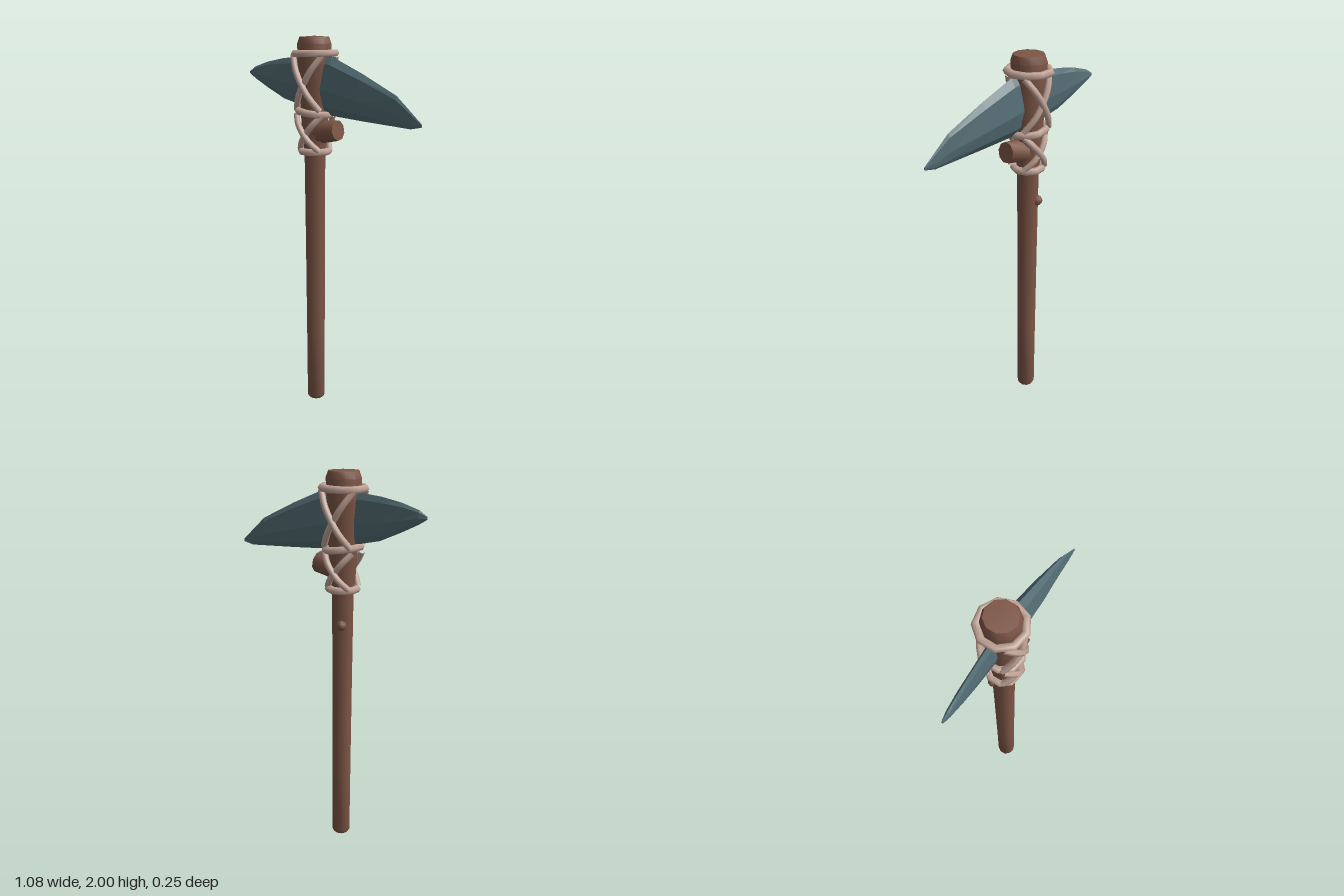
import * as THREE from 'three';
import { toCreasedNormals } from 'three/addons/utils/BufferGeometryUtils.js';

const CX = -0.093; // handle axis

export function createModel() {
  const group = new THREE.Group();
  const wood = new THREE.MeshStandardMaterial({ color: 0x7d5646 });
  const cord = new THREE.MeshStandardMaterial({ color: 0xc4a699 });
  const stone = new THREE.MeshStandardMaterial({ color: 0x546e75, flatShading: true });

  const add = (name, geometry, material, parent = group) => {
    const mesh = new THREE.Mesh(geometry, material);
    mesh.name = name;
    parent.add(mesh);
    return mesh;
  };

  // Handle: slender shaft flaring towards the head
  const profile = [
    [0, 0], [0.042, 0], [0.05, 0.015], [0.051, 0.4], [0.053, 0.9], [0.056, 1.4],
    [0.066, 1.5], [0.074, 1.62], [0.083, 1.85], [0.09, 1.96], [0.077, 1.995], [0, 2],
  ].map(([r, y]) => new THREE.Vector2(r, y));
  const handle = add('handle', toCreasedNormals(new THREE.LatheGeometry(profile, 10), 0.7), wood);
  handle.position.x = CX;

  // Cut branch stub below the blade
  const stub = add('branchStub', toCreasedNormals(new THREE.CylinderGeometry(0.053, 0.06, 0.13, 9), 0.8), wood);
  stub.position.set(-0.007, 1.53, 0);
  stub.rotation.z = -Math.PI / 2 + 0.15;

  // Small knot on the back of the shaft
  const knot = add('knot', new THREE.SphereGeometry(0.027, 8, 6), wood);
  knot.position.set(CX - 0.024, 1.24, -0.048);

  add('blade', bladeGeometry(), stone);

  // Cord wrapping: three rings joined by crossed strands
  const binding = new THREE.Group();
  binding.name = 'binding';
  group.add(binding);

  const rings = [ // height, radius, sideways tilt
    [1.915, 0.106, 0.02], [1.625, 0.089, -0.13], [1.423, 0.073, 0],
  ];
  for (const [y, radius, tilt] of rings) {
    const ring = add('cordRing', new THREE.TorusGeometry(radius, 0.019, 6, 9).rotateX(Math.PI / 2), cord, binding);
    ring.position.set(CX, y, 0);
    ring.rotation.z = tilt;
  }

  const crossings = [ // top, bottom, half width at top and bottom, depth at ends and middle
    [1.905, 1.635, 0.088, 0.08, 0.055, 0.1],
    [1.61, 1.43, 0.078, 0.066, 0.045, 0.086],
  ];
  for (const [top, bottom, wTop, wBottom, zEnd, zMid] of crossings) {
    for (const face of [1, -1]) {
      for (const slant of [1, -1]) {
        const points = [0, 0.25, 0.5, 0.75, 1].map((t) => new THREE.Vector3(
          CX + slant * THREE.MathUtils.lerp(-wTop, wBottom, t),
          THREE.MathUtils.lerp(top, bottom, t),
          face * (zEnd + (zMid - zEnd) * Math.sin(Math.PI * t) ** 0.7 + 0.006 * slant * face),
        ));
        const path = new THREE.CatmullRomCurve3(points);
        add('crossedCord', new THREE.TubeGeometry(path, 10, 0.016, 6), cord, binding);
      }
    }
  }
  return group;
}

// Knapped stone blade: bevelled sections lofted along x
function bladeGeometry() {
  const stations = [ // x, top, bottom, half thickness
    [-0.54, 1.815, 1.8, 0.005], [-0.5, 1.84, 1.775, 0.014], [-0.41, 1.867, 1.73, 0.019],
    [-0.3, 1.887, 1.68, 0.02], [-0.15, 1.9, 1.645, 0.026], [0.02, 1.9, 1.61, 0.046],
    [0.2, 1.825, 1.597, 0.037], [0.4, 1.73, 1.585, 0.017], [0.48, 1.66, 1.58, 0.009],
    [0.54, 1.608, 1.592, 0.003],
  ];
  const section = [ // fraction down from the top, fraction of thickness
    [0, 0], [0.13, 0.6], [0.58, 1], [0.86, 0.6], [1, 0], [0.86, -0.6], [0.58, -1], [0.13, -0.6],
  ];
  const n = section.length;
  const positions = [];
  const indices = [];
  for (const [x, top, bottom, thick] of stations) {
    for (const [d, w] of section) positions.push(x, top + (bottom - top) * d, thick * w);
  }
  for (let i = 0; i < stations.length - 1; i++) {
    for (let j = 0; j < n; j++) {
      const a = i * n + j, b = i * n + ((j + 1) % n);
      indices.push(a, b, a + n, b, b + n, a + n);
    }
  }
  const last = (stations.length - 1) * n;
  for (let j = 1; j < n - 1; j++) {
    indices.push(0, j + 1, j, last, last + j, last + j + 1);
  }
  const geometry = new THREE.BufferGeometry();
  geometry.setAttribute('position', new THREE.Float32BufferAttribute(positions, 3));
  geometry.setIndex(indices);
  geometry.computeVertexNormals();
  return geometry;
}
